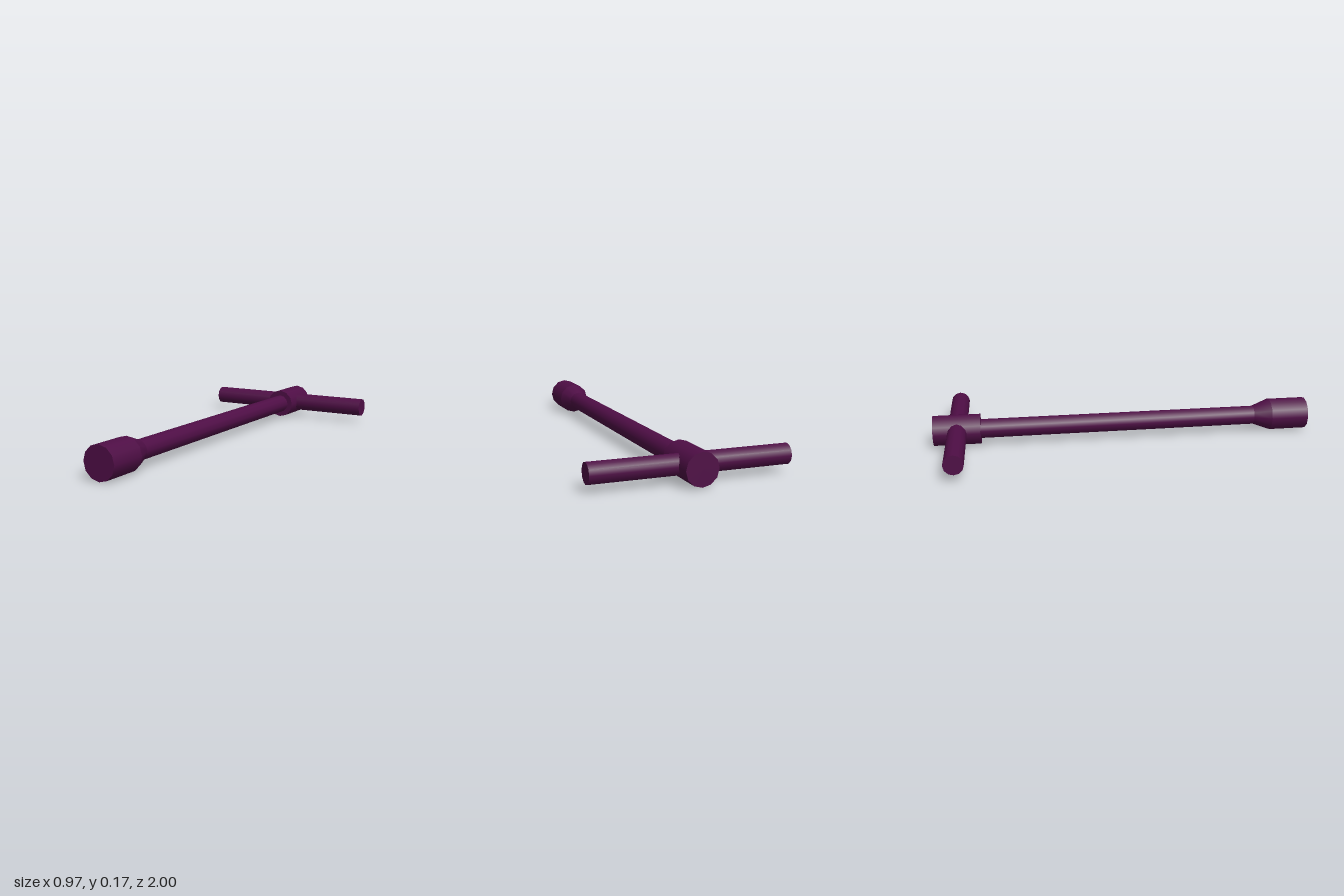
import * as THREE from 'three';

const SIDES = 12;
const AXIS_Y = 0.085; // height of the wrench axis

export function createModel() {
  const group = new THREE.Group();
  const material = new THREE.MeshStandardMaterial({ color: 0x4f0e46 });

  // Cylinder lying along z, from zBack (rBack) to zFront (rFront)
  function alongZ(name, zBack, zFront, rBack, rFront = rBack, open = false) {
    const geometry = new THREE.CylinderGeometry(rFront, rBack, zFront - zBack, SIDES, 1, open);
    geometry.rotateX(Math.PI / 2);
    const mesh = new THREE.Mesh(geometry, material);
    mesh.name = name;
    mesh.position.set(0, AXIS_Y, (zBack + zFront) / 2);
    group.add(mesh);
  }

  // Socket end with its tapered neck
  alongZ('socket', 0.8, 1, 0.085);
  alongZ('socketTaper', 0.71, 0.8, 0.05, 0.085, true);

  // Long shaft running into the hub
  alongZ('shaft', -0.78, 0.72, 0.05);

  // Hub that holds the handle
  alongZ('hub', -1, -0.757, 0.079);

  // Sliding cross handle through the hub
  const bar = new THREE.CylinderGeometry(0.05, 0.05, 0.966, SIDES);
  bar.rotateZ(Math.PI / 2);
  const handle = new THREE.Mesh(bar, material);
  handle.name = 'crossHandle';
  handle.position.set(0, AXIS_Y, -0.878);
  group.add(handle);

  return group;
}
